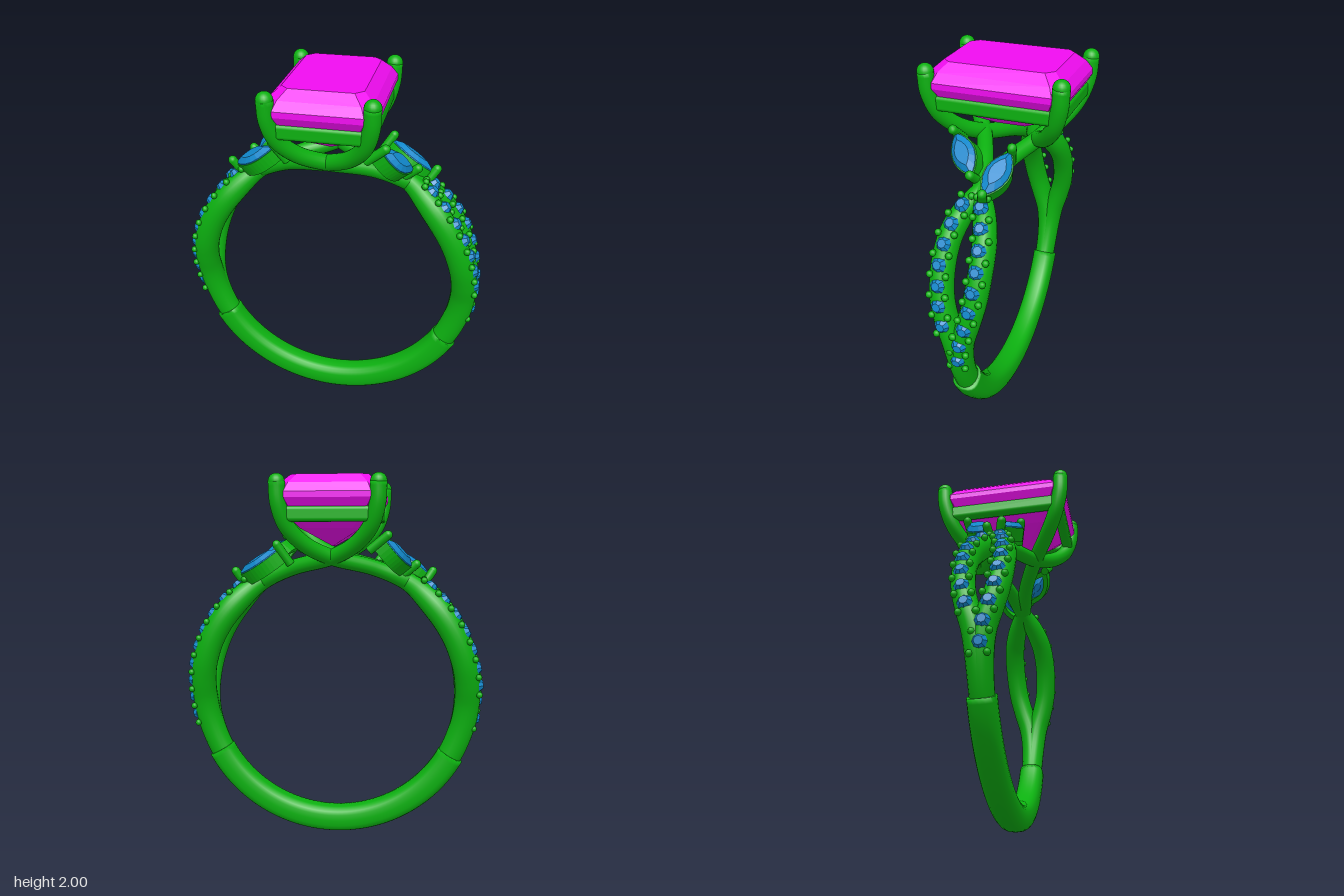
import * as THREE from 'three';
import { RoundedBoxGeometry } from 'three/addons/geometries/RoundedBoxGeometry.js';
import { ConvexGeometry } from 'three/addons/geometries/ConvexGeometry.js';

const V = (x, y, z) => new THREE.Vector3(x, y, z);
const metal = new THREE.MeshStandardMaterial({ color: 0x0cb010 });
const gemMat = new THREE.MeshStandardMaterial({ color: 0xf00cf0, flatShading: true });
const sideMat = new THREE.MeshStandardMaterial({ color: 0x1188cc, flatShading: true });

const CY = 0.82, R = 0.745; // centre height and centreline radius of the band
const onBand = (deg, r, z = 0) => {
  const a = THREE.MathUtils.degToRad(deg);
  return V(r * Math.cos(a), CY + r * Math.sin(a), z);
};

function add(parent, name, geometry, material, position) {
  const mesh = new THREE.Mesh(geometry, material);
  mesh.name = name;
  if (position) mesh.position.copy(position);
  parent.add(mesh);
  return mesh;
}

// Sweeps an oval section; size(t) gives [half width along z, half height], p < 1 squares it off
function sweep(points, size, steps, p = 1) {
  const curve = new THREE.CatmullRomCurve3(points), n = 20, pos = [], idx = [];
  const pw = (v) => Math.sign(v) * Math.abs(v) ** p;
  for (let i = 0; i <= steps; i++) {
    const t = i / steps, c = curve.getPointAt(t), T = curve.getTangentAt(t);
    const N = V(0, 0, 1).addScaledVector(T, -T.z).normalize();
    const B = T.clone().cross(N);
    const [w, h] = size(t, c);
    for (let j = 0; j < n; j++) {
      const a = (j / n) * Math.PI * 2;
      const q = c.clone().addScaledVector(N, w * pw(Math.cos(a))).addScaledVector(B, h * pw(Math.sin(a)));
      pos.push(q.x, q.y, q.z);
      if (i < steps) {
        const k = i * n, j2 = (j + 1) % n;
        idx.push(k + j, k + j2, k + n + j, k + j2, k + n + j2, k + n + j);
      }
    }
  }
  const e = steps * n;
  for (let j = 1; j < n - 1; j++) idx.push(0, j + 1, j, e, e + j, e + j + 1); // end caps
  const g = new THREE.BufferGeometry();
  g.setAttribute('position', new THREE.Float32BufferAttribute(pos, 3));
  g.setIndex(idx);
  g.computeVertexNormals();
  return g;
}

// Sideways offset of a split strand by angle on the band
const SPLIT = [[-40, 0], [-28, 0], [-14, 0.008], [-4, 0.025], [5, 0.058], [14, 0.085],
  [26, 0.097], [38, 0.088], [48, 0.052], [57, 0]];
function splitAt(deg) {
  for (let i = 1; i < SPLIT.length; i++) {
    const [a, za] = SPLIT[i - 1], [b, zb] = SPLIT[i];
    if (deg <= b) return THREE.MathUtils.mapLinear(deg, a, b, za, zb);
  }
  return 0;
}

// Strand rising from the band, crossing its twin and ending as a claw on the far side
function strand(parent, s) {
  const pts = SPLIT.map(([d, z]) => onBand(d, R - 0.003, z * s));
  const claw = [[0.22, 1.52, 0.055], [0, 1.578, 0.15], [-0.13, 1.645, 0.235], [-0.215, 1.74, 0.302],
    [-0.25, 1.85, 0.337], [-0.256, 1.957, 0.345]];
  pts.push(...claw.map(([x, y, z]) => V(x, y, -z * s)));
  const size = (t, c) => {
    const k = THREE.MathUtils.smoothstep(c.y, 1.3, 1.52);
    return [0.06 - 0.017 * k, 0.07 - 0.027 * k];
  };
  add(parent, 'strandAndClaw', sweep(pts, size, 110), metal);
  add(parent, 'clawTip', new THREE.SphereGeometry(0.043, 20, 14), metal, pts[pts.length - 1]);
}

// Row of small stones with beads between them on the outside of a strand
function pave(parent, s, count) {
  const stone = new THREE.CylinderGeometry(0.022, 0.04, 0.024, 8);
  const bead = new THREE.SphereGeometry(0.018, 10, 8);
  for (let i = 0; i <= count; i++) {
    const deg = 48.5 - i * 7.3;
    if (i < count) {
      const p = onBand(deg, 0.814, splitAt(deg) * s);
      const m = add(parent, 'paveStone', stone, sideMat, p);
      m.quaternion.setFromUnitVectors(V(0, 1, 0), V(p.x, p.y - CY, p.z * 0.5).normalize());
    }
    const mid = deg + 3.65;
    for (const e of [-1, 1]) add(parent, 'paveBead', bead, metal, onBand(mid, 0.803, splitAt(mid) * s + e * 0.042));
  }
}

function lens(a, b, Type = THREE.Shape) {
  const s = new Type();
  s.moveTo(-a, 0);
  s.quadraticCurveTo(0, -2 * b, a, 0);
  s.quadraticCurveTo(0, 2 * b, -a, 0);
  return s;
}

// Pointed oval stone in an open collar with a claw at each end
function marquise(parent, lower, upper, normal) {
  const d = upper.clone().sub(lower), half = d.length() / 2;
  d.normalize();
  const n = normal.addScaledVector(d, -normal.dot(d)).normalize();
  const g = new THREE.Group();
  g.name = 'marquiseSetting';
  g.quaternion.setFromRotationMatrix(new THREE.Matrix4().makeBasis(d, n.clone().cross(d), n));
  g.position.copy(lower).add(upper).multiplyScalar(0.5).addScaledVector(n, -0.02);
  parent.add(g);

  const collar = lens(half, 0.066);
  collar.holes.push(lens(half - 0.045, 0.04, THREE.Path));
  add(g, 'collar', new THREE.ExtrudeGeometry(collar, { depth: 0.075, bevelEnabled: false, curveSegments: 12 }),
    metal, V(0, 0, -0.085));

  // Stone as the hull of table, girdle and keel outlines
  const pts = [];
  for (const [k, z] of [[0.6, 0.018], [1, -0.004], [1, -0.012], [0.3, -0.05]])
    for (const q of lens((half - 0.008) * k, 0.06 * k).getPoints(6)) pts.push(V(q.x, q.y, z));
  add(g, 'marquiseStone', new ConvexGeometry(pts), sideMat);

  for (const e of [-1, 1]) {
    const leg = add(g, 'smallClaw', new THREE.CylinderGeometry(0.024, 0.024, 0.13, 12), metal, V(e * half, 0, -0.045));
    leg.rotation.x = Math.PI / 2;
    add(g, 'smallClawTip', new THREE.SphereGeometry(0.024, 12, 10), metal, V(e * half, 0, 0.02));
  }
}

export function createModel() {
  const ring = new THREE.Group();
  ring.name = 'ring';

  // Solid lower band
  const arc = [];
  for (let d = 208; d <= 332; d += 4) arc.push(onBand(d, R));
  add(ring, 'lowerBand', sweep(arc, () => [0.07, 0.075], 60, 0.75), metal);

  // Two identical shoulders, turned half way round
  for (const turn of [0, Math.PI]) {
    const side = new THREE.Group();
    side.name = turn ? 'rightShoulder' : 'leftShoulder';
    side.rotation.y = turn;
    ring.add(side);
    for (const s of [-1, 1]) strand(side, s);
    pave(side, -1, 9);
    pave(side, 1, 7);
    marquise(side, V(0.54, 1.5, -0.06), V(0.3, 1.645, -0.12), V(0.5, 0.8, -0.22));
    marquise(side, V(0.45, 1.54, 0.04), V(0.3, 1.695, 0.19), V(0.65, 0.7, 0.2));
  }

  // Step-cut centre stone: [y, half x, half z, corner cut]
  const pts = [V(0, 1.635, 0.08), V(0, 1.635, -0.08)];
  const levels = [[2, 0.2, 0.285, 0.04], [1.955, 0.25, 0.335, 0.05], [1.91, 0.28, 0.365, 0.06],
    [1.88, 0.28, 0.365, 0.06], [1.82, 0.245, 0.33, 0.055], [1.73, 0.16, 0.25, 0.04]];
  for (const [y, x, z, c] of levels)
    for (const sx of [-1, 1]) for (const sz of [-1, 1])
      pts.push(V(sx * (x - c), y, sz * z), V(sx * x, y, sz * (z - c)));
  add(ring, 'centreStone', new ConvexGeometry(pts), gemMat);

  // Rails of the basket between the claws
  for (const s of [-1, 1]) {
    add(ring, 'basketRailEnd', new RoundedBoxGeometry(0.48, 0.08, 0.06, 3, 0.02), metal, V(0, 1.8, s * 0.32));
    add(ring, 'basketRailSide', new RoundedBoxGeometry(0.06, 0.08, 0.65, 3, 0.02), metal, V(s * 0.235, 1.8, 0));
  }
  return ring;
}
